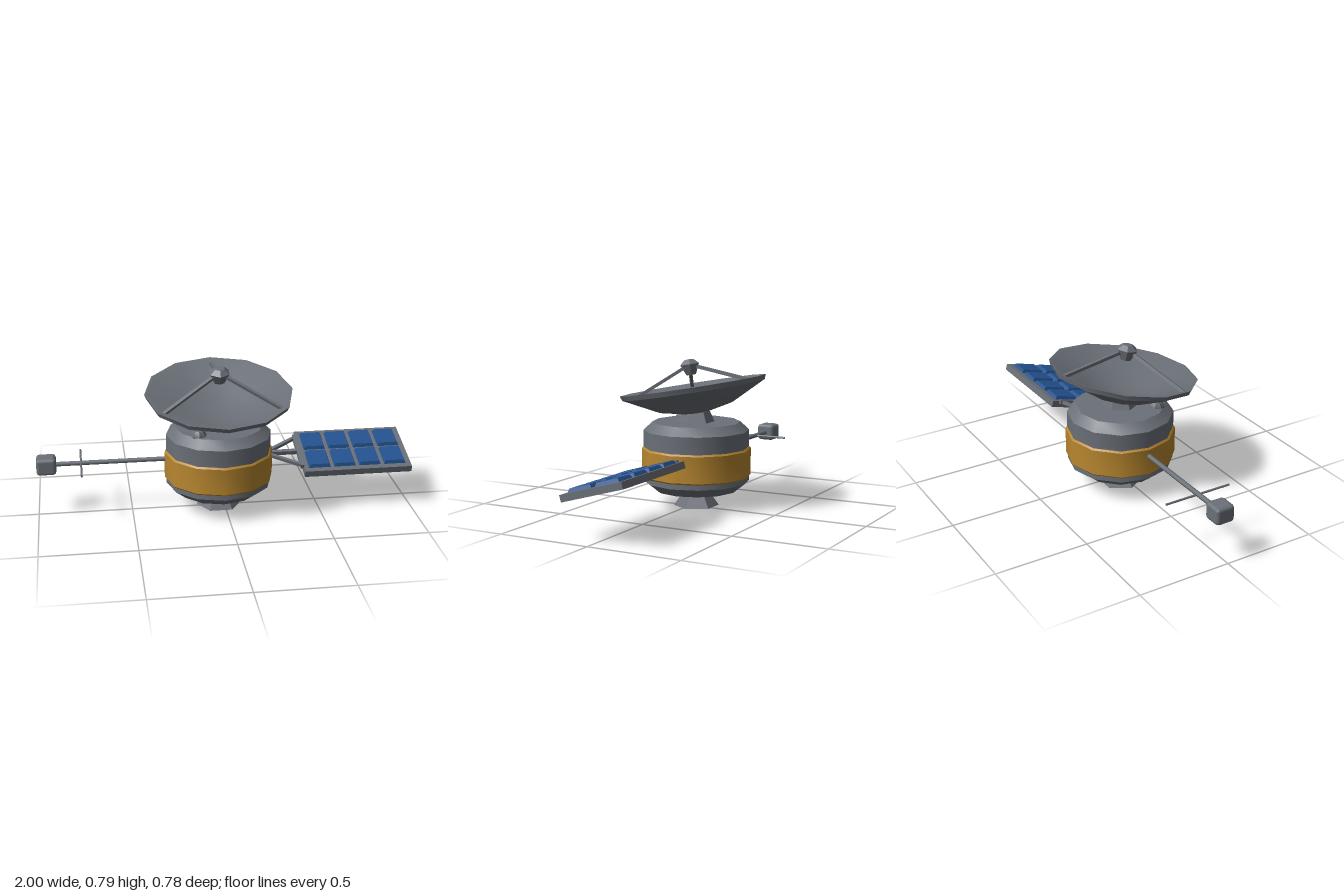
import * as THREE from 'three';
import { toCreasedNormals } from 'three/addons/utils/BufferGeometryUtils.js';
import { RoundedBoxGeometry } from 'three/addons/geometries/RoundedBoxGeometry.js';

const V = (x, y, z) => new THREE.Vector3(x, y, z);

export function createModel() {
  const make = (name, color, flatShading = false) => {
    const m = new THREE.MeshStandardMaterial({ color, flatShading });
    m.name = name;
    return m;
  };
  const grey = make('grey metal', 0x6b7078);
  const gold = make('gold foil', 0xb8872f);
  const blue = make('solar blue', 0x24528f);

  const model = new THREE.Group();
  model.name = 'spaceProbe';
  const CX = -0.028, CZ = -0.022;

  const add = (parent, name, geo, mat, x = 0, y = 0, z = 0) => {
    const mesh = new THREE.Mesh(geo, mat);
    mesh.name = name;
    mesh.position.set(x, y, z);
    parent.add(mesh);
    return mesh;
  };

  // Turned part with sharp bevels; a vertex always lies on +x or +z
  const turned = (profile, sides, start = 0, crease = 0.6) =>
    toCreasedNormals(new THREE.LatheGeometry(
      profile.map(([r, y]) => new THREE.Vector2(r, y)), sides, start), crease);

  // Straight square bar between two points
  const bar = (parent, name, a, b, w) => {
    const mesh = add(parent, name, new THREE.BoxGeometry(w, w, a.distanceTo(b)), grey);
    mesh.position.copy(a).add(b).multiplyScalar(0.5);
    mesh.quaternion.setFromUnitVectors(V(0, 0, 1), b.clone().sub(a).normalize());
    return mesh;
  };

  // Main body, foil band, engine nozzle and dish mount
  add(model, 'body', turned([[0, 0.088], [0.222, 0.088], [0.283, 0.136],
    [0.283, 0.412], [0.235, 0.456], [0, 0.456]], 12), grey, CX, 0, CZ);
  add(model, 'foilBand', turned([[0.28, 0.163], [0.285, 0.163], [0.2925, 0.171],
    [0.2925, 0.312], [0.285, 0.321], [0.28, 0.321]], 12), gold, CX, 0, CZ);
  add(model, 'nozzle', turned([[0, 0], [0.121, 0], [0.059, 0.09], [0, 0.09]],
    6, Math.PI / 2), grey, CX, 0, CZ);
  add(model, 'dishMount', turned([[0, 0.45], [0.1, 0.45], [0.072, 0.512], [0, 0.512]],
    6, Math.PI / 2), grey, CX, 0, CZ);
  add(model, 'sensorDome', turned([[0, 0.45], [0.042, 0.45], [0.042, 0.463],
    [0.026, 0.485], [0, 0.493]], 8), grey, -0.152, 0, 0.127);

  // Dish, tilted towards the front, with feed horn on three struts
  const antenna = new THREE.Group();
  antenna.name = 'antenna';
  antenna.position.set(CX, 0.649, 0);
  antenna.rotation.x = THREE.MathUtils.degToRad(10);
  model.add(antenna);
  add(antenna, 'dish', turned([[0, -0.15], [0.066, -0.148], [0.195, -0.121], [0.384, -0.026],
    [0.394, 0], [0.378, -0.002], [0.19, -0.095], [0.064, -0.122], [0, -0.125]], 12), grey);
  add(antenna, 'feedHorn', turned([[0, -0.044], [0.029, -0.044], [0.058, 0.013],
    [0.029, 0.037], [0, 0.04]], 6), grey, 0, 0.1, 0);
  for (let i = 0; i < 3; i++) {
    const a = Math.PI + i * Math.PI * 2 / 3;
    const s = Math.sin(a), c = Math.cos(a);
    bar(antenna, 'feedStrut', V(s * 0.03, 0.1, c * 0.03), V(s * 0.355, -0.018, c * 0.355), 0.017);
  }

  // Instrument boom on the right side
  const boom = new THREE.Group();
  boom.name = 'instrumentBoom';
  boom.position.set(0, 0.275, CZ);
  model.add(boom);
  const rod = add(boom, 'boomRod', new THREE.CylinderGeometry(0.013, 0.013, 0.64, 8), grey, -0.6);
  rod.rotation.z = Math.PI / 2;
  add(boom, 'instrumentBox', new RoundedBoxGeometry(0.104, 0.092, 0.104, 1, 0.018), grey, -0.948);
  const cross = add(boom, 'crossAntenna', new THREE.CylinderGeometry(0.006, 0.006, 0.372, 6),
    grey, -0.765, 0, -0.002);
  cross.rotation.x = Math.PI / 2;

  // Solar wing on the left side, tilted towards the front
  const tilt = THREE.MathUtils.degToRad(15.8);
  const wing = new THREE.Group();
  wing.name = 'solarWing';
  wing.position.set(0.7075, 0.26, -0.0245);
  wing.rotation.x = tilt;
  model.add(wing);
  add(wing, 'panel', new THREE.BoxGeometry(0.585, 0.036, 0.356), grey);

  // Solar cells: shallow blocks with bevelled tops
  const cell = new THREE.BoxGeometry(0.118, 0.018, 0.138);
  const p = cell.attributes.position;
  for (let i = 0; i < p.count; i++) {
    if (p.getY(i) > 0) {
      p.setX(i, p.getX(i) - Math.sign(p.getX(i)) * 0.008);
      p.setZ(i, p.getZ(i) - Math.sign(p.getZ(i)) * 0.008);
    }
  }
  cell.computeVertexNormals();
  for (let col = 0; col < 4; col++) {
    for (const side of [-1, 1]) {
      add(wing, 'solarCell', cell, blue, -0.2075 + col * 0.1375, 0.027, side * 0.079);
    }
  }

  // Wing bracket: a crossbar, two braces and a centre arm
  const bracket = new THREE.Group();
  bracket.name = 'wingBracket';
  bracket.position.set(0, 0.277, CZ);
  bracket.rotation.x = tilt;
  model.add(bracket);
  add(bracket, 'crossbar', new THREE.BoxGeometry(0.018, 0.024, 0.27), grey, 0.408);
  bar(bracket, 'centreArm', V(0.22, 0, 0), V(0.42, 0, 0), 0.022);
  for (const side of [-1, 1]) {
    bar(bracket, 'brace', V(0.24, 0, side * 0.012), V(0.408, 0, side * 0.12), 0.018);
  }
  return model;
}
